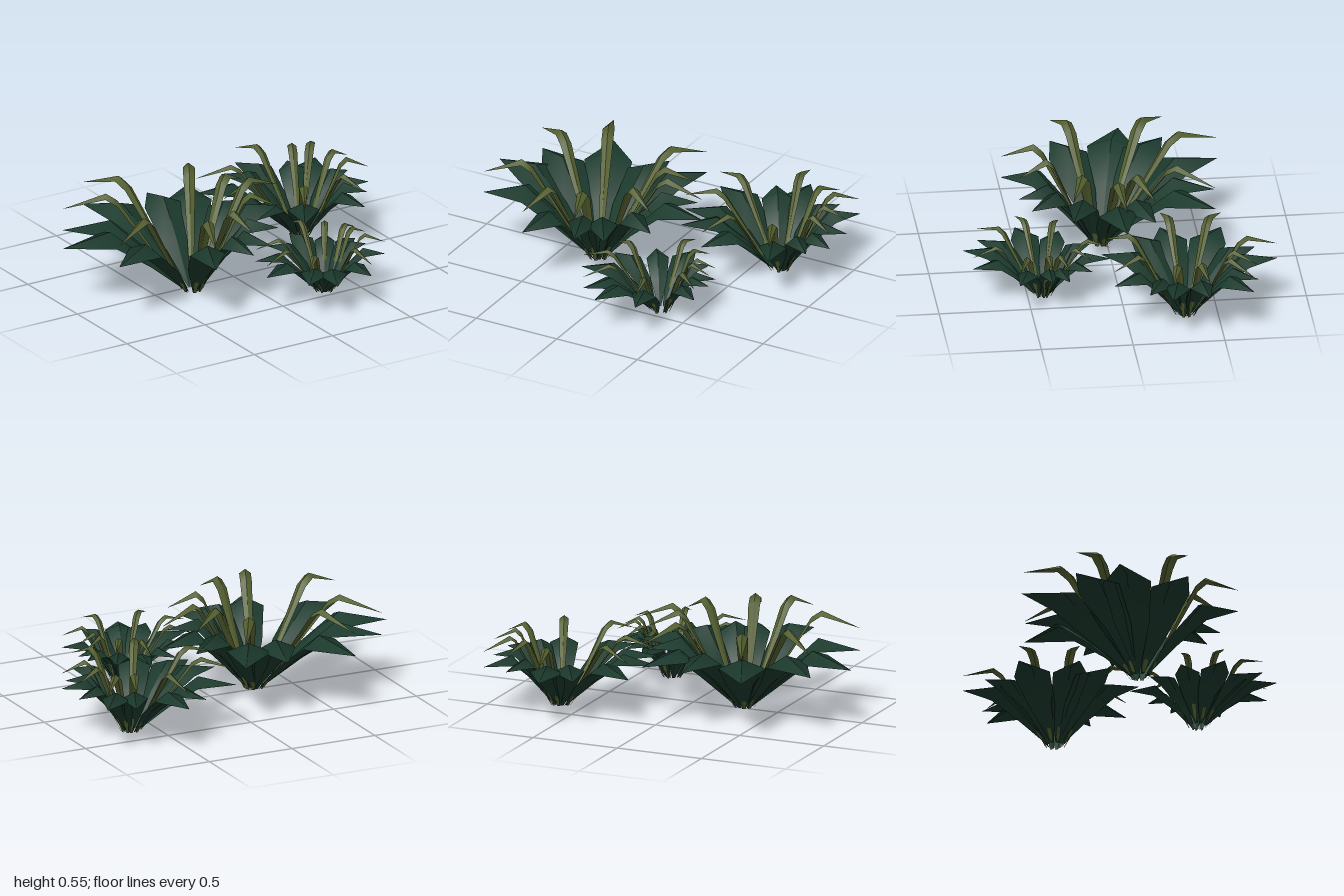
import * as THREE from 'three';

const leafMat = new THREE.MeshStandardMaterial({ color: 0x1c3a2d, side: THREE.DoubleSide });
const bladeMat = new THREE.MeshStandardMaterial({ color: 0x535f2f, side: THREE.DoubleSide });

// Strip running outward along +x from cross-sections [radius, height, halfWidth, edgeDrop];
// the two halves are smooth along their length and meet in a sharp midrib
function ridgedStrip(sections) {
  const pos = [], index = [];
  sections.forEach(([r, y, w, d], i) => {
    pos.push(r, y - d, -w, r, y, 0, r, y, 0, r, y - d, w);
    if (i === 0) return;
    for (const half of [0, 2]) {
      const d0 = i * 4 + half, a = d0 - 4;
      index.push(a, a + 1, d0 + 1, a, d0 + 1, d0);
    }
  });
  const g = new THREE.BufferGeometry();
  g.setAttribute('position', new THREE.Float32BufferAttribute(pos, 3));
  g.setIndex(index);
  g.computeVertexNormals();
  return g;
}

// Broad leaf: swells early, rises to a knee, then droops to a point
const leaf = (len, h) => ridgedStrip([
  [0.04, 0, 0.008, 0],
  [len * 0.36, h * 0.56, len * 0.13, h * 0.06],
  [len * 0.64, h, len * 0.18, h * 0.13],
  [len, h * 0.84, 0.002, 0],
]);

// Narrow upright blade above a leaf, sharply bent over at the top
const blade = (len, h) => {
  const w = h * 0.058;
  return ridgedStrip([
    [0.055, 0, w * 0.3, 0],
    [len * 0.58, h * 0.93, w, w * 0.75],
    [len * 0.67, h, w, w * 0.75],
    [len, h * 0.83, 0.001, 0],
  ]);
};

// Rosette of leaves: each has a heading in degrees (from +x towards +z) and a reach;
// the leaves listed in bare carry no blade
function rosette(name, x, z, leafH, bladeH, headings, reaches, bare) {
  const plant = new THREE.Group();
  plant.name = name;
  plant.position.set(x, 0, z);
  headings.forEach((deg, i) => {
    const frond = new THREE.Group();
    frond.name = 'frond';
    frond.rotation.y = -THREE.MathUtils.degToRad(deg);
    const leafMesh = new THREE.Mesh(leaf(reaches[i], leafH), leafMat);
    leafMesh.name = 'leaf';
    frond.add(leafMesh);
    if (!bare.includes(i)) {
      const bladeMesh = new THREE.Mesh(blade(reaches[i], bladeH), bladeMat);
      bladeMesh.name = 'blade';
      frond.add(bladeMesh);
    }
    plant.add(frond);
  });
  return plant;
}

export function createModel() {
  const model = new THREE.Group();
  model.name = 'plantCluster';
  model.add(
    rosette('largePlant', -0.285, 0.035, 0.395, 0.55,
      [194, 215, 247, 279, 300, 332, 352, 24, 57, 77, 109, 161],
      [0.735, 0.7, 0.725, 0.615, 0.68, 0.535, 0.6, 0.47, 0.475, 0.465, 0.55, 0.63], [0, 3, 8]),
    rosette('mediumPlant', 0.64, -0.325, 0.305, 0.415,
      [259, 238, 206, 172, 152, 120, 69, 38, 16, 345, 312, 292],
      [0.52, 0.48, 0.57, 0.55, 0.535, 0.495, 0.43, 0.36, 0.38, 0.37, 0.455, 0.41], [1, 4, 7]),
    rosette('smallPlant', 0.315, 0.42, 0.235, 0.32,
      [272, 303, 336, 354, 27, 81, 113, 133, 167, 200, 237],
      [0.37, 0.305, 0.3, 0.285, 0.33, 0.385, 0.445, 0.435, 0.44, 0.38, 0.335], [6, 10]),
  );
  return model;
}
